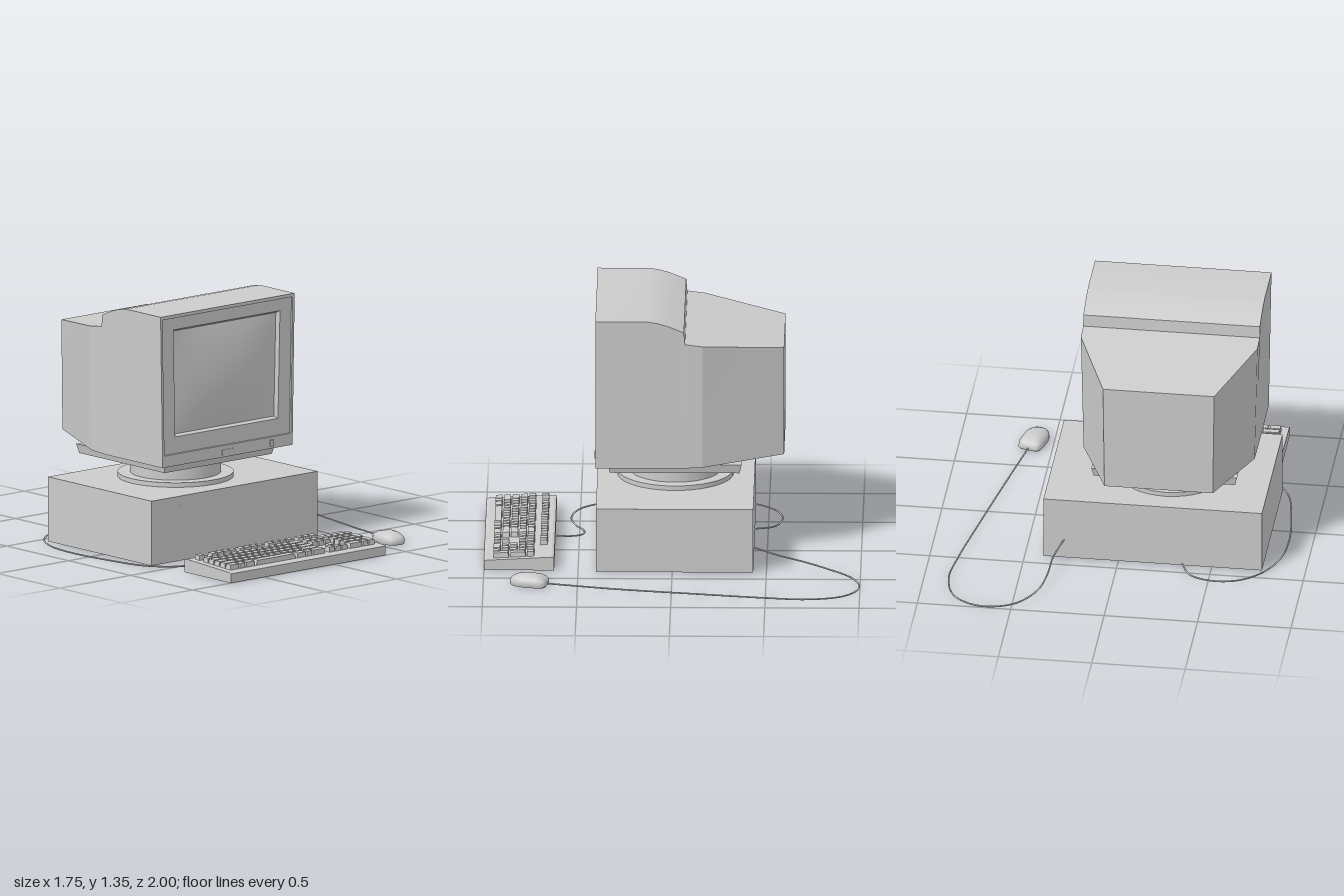
import * as THREE from 'three';
import { mergeGeometries, toCreasedNormals } from 'three/addons/utils/BufferGeometryUtils.js';

const grey = new THREE.MeshStandardMaterial({ color: 0xcccccc });
const MX = -0.2375; // monitor centre line

function add(parent, name, geometry, x = 0, y = 0, z = 0) {
  const mesh = new THREE.Mesh(geometry, grey);
  mesh.name = name;
  mesh.position.set(x, y, z);
  parent.add(mesh);
  return mesh;
}

// Joins four-cornered sections [z, halfWidthTop, halfWidthBottom, yTop, yBottom], closing the last one
function loft(sections) {
  const loops = sections.map(([z, wt, wb, t, b]) => [[-wb, b, z], [wb, b, z], [wt, t, z], [-wt, t, z]]);
  const pos = [];
  const quad = (a, b, c, d) => pos.push(...a, ...b, ...c, ...a, ...c, ...d);
  for (let i = 0; i < loops.length - 1; i++) {
    const A = loops[i], B = loops[i + 1];
    for (let j = 0; j < 4; j++) {
      const k = (j + 1) % 4;
      quad(A[j], B[j], B[k], A[k]);
    }
  }
  const [p, q, r, s] = loops[loops.length - 1];
  quad(p, s, r, q);
  const g = new THREE.BufferGeometry();
  g.setAttribute('position', new THREE.Float32BufferAttribute(pos, 3));
  g.computeVertexNormals();
  return toCreasedNormals(g, 0.3);
}

// Box whose top or bottom is narrowed
function taperedBox(w, h, d, top, bottom = 1) {
  const g = new THREE.BoxGeometry(w, h, d), p = g.attributes.position;
  for (let i = 0; i < p.count; i++) {
    const s = p.getY(i) > 0 ? top : bottom;
    p.setX(i, p.getX(i) * s);
    p.setZ(i, p.getZ(i) * s);
  }
  g.computeVertexNormals();
  return g;
}

function cable(points) {
  const curve = new THREE.CatmullRomCurve3(points.map(p => new THREE.Vector3(...p)));
  return new THREE.TubeGeometry(curve, 120, 0.0045, 8);
}

function buildMonitor() {
  const g = new THREE.Group();
  g.name = 'monitor';
  g.position.x = MX;
  // Shell: screen recess, bezel panel, rim, hood with rounded step, tapering back
  add(g, 'monitorShell', loft([
    [0.38, 0.366, 0.352, 1.25, 0.69],
    [0.402, 0.376, 0.362, 1.262, 0.68],
    [0.402, 0.457, 0.443, 1.325, 0.59],
    [0.41, 0.459, 0.445, 1.327, 0.588],
    [0.41, 0.4725, 0.458, 1.345, 0.525],
    [0.13, 0.4725, 0.458, 1.345, 0.525],
    [0.08, 0.4725, 0.458, 1.336, 0.525],
    [0.03, 0.4725, 0.458, 1.322, 0.525],
    [-0.02, 0.4725, 0.458, 1.302, 0.525],
    [-0.06, 0.4725, 0.458, 1.285, 0.526],
    [-0.066, 0.4725, 0.458, 1.22, 0.526],
    [-0.16, 0.4725, 0.458, 1.208, 0.531],
    [-0.59, 0.2975, 0.29, 1.15, 0.555],
  ]));
  // Bulging glass
  const glass = new THREE.PlaneGeometry(2, 2, 20, 20), p = glass.attributes.position;
  for (let i = 0; i < p.count; i++) {
    const u = p.getX(i), v = p.getY(i);
    p.setXYZ(i, u * (0.359 + 0.007 * v), 0.97 + v * 0.28, 0.38 + 0.03 * (1 - u * u) * (1 - v * v));
  }
  glass.computeVertexNormals();
  add(g, 'screen', glass);
  add(g, 'powerButton', new THREE.BoxGeometry(0.025, 0.035, 0.012), 0.31, 0.555, 0.411);
  add(g, 'controlFlap', new THREE.BoxGeometry(0.08, 0.03, 0.008), 0, 0.55, 0.41);
  // Swivel stand
  add(g, 'tiltPlate', taperedBox(0.78, 0.05, 0.71, 1, 0.97), 0, 0.5, -0.01);
  add(g, 'swivelNeck', new THREE.CylinderGeometry(0.242, 0.242, 0.1, 40), 0, 0.425, -0.01);
  add(g, 'swivelBase', new THREE.CylinderGeometry(0.308, 0.308, 0.025, 40), 0, 0.3675, -0.01);
  return g;
}

function buildCase() {
  const g = new THREE.Group();
  g.name = 'computerCase';
  add(g, 'caseBody', new THREE.BoxGeometry(1.17, 0.35, 0.835), -0.185, 0.18, -0.0125);
  // Front panel seam
  add(g, 'seamUpright', new THREE.BoxGeometry(0.004, 0.29, 0.003), -0.585, 0.158, 0.405);
  add(g, 'seamTop', new THREE.BoxGeometry(0.045, 0.004, 0.003), -0.565, 0.301, 0.405);
  return g;
}

function buildKeyboard() {
  const g = new THREE.Group();
  g.name = 'keyboard';
  // Wedge-shaped body, extruded sideways
  const profile = new THREE.Shape([[1, 0], [1, 0.05], [0.985, 0.055], [0.64, 0.073], [0.627, 0.068], [0.627, 0]]
    .map(([z, y]) => new THREE.Vector2(z, y)));
  const body = new THREE.ExtrudeGeometry(profile, { depth: 1.09, bevelEnabled: false });
  body.rotateY(-Math.PI / 2);
  add(g, 'keyboardBody', body, 0.36);

  const keys = [], P = 0.045;
  const key = (left, z, units = 1, rows = 1) => {
    const k = taperedBox(units * P - 0.006, 0.03, rows * P - 0.006, 0.9);
    k.rotateX(0.05);
    k.translate(left + units * P / 2, 0.069 + (0.95 - z) * 0.045, z);
    keys.push(k);
  };
  const row = (left, z, widths) => {
    for (const w of widths) {
      key(left, z, w);
      left += w * P;
    }
  };
  const ones = n => Array(n).fill(1);
  const Z = [0.684, 0.753, 0.797, 0.842, 0.887, 0.932];
  // Separate back row
  for (const [x, n] of [[-0.695, 1], [-0.605, 4], [-0.41, 4], [-0.205, 4], [0.003, 3]]) row(x, Z[0], ones(n));
  // Main block
  [[...ones(13), 2], [1.5, ...ones(12), 1.5], [1.75, ...ones(11), 2.25], [2.25, ...ones(10), 2.75],
    [1.5, 1, 1.5, 6.5, 1.5, 1, 2]].forEach((widths, i) => row(-0.695, Z[i + 1], widths));
  // Navigation and arrow keys
  for (const i of [1, 2, 5]) row(0.003, Z[i], ones(3));
  key(0.003 + P, Z[4]);
  // Number pad
  row(0.15, Z[1], ones(4));
  for (const i of [2, 3, 4]) row(0.15, Z[i], ones(3));
  row(0.15, Z[5], [2, 1]);
  for (const i of [2, 4]) key(0.15 + 3 * P, (Z[i] + Z[i + 1]) / 2, 1, 2);
  add(g, 'keys', mergeGeometries(keys));
  return g;
}

function buildMouse() {
  // Domed disc reshaped: blunt at the cable end, round at the palm
  const profile = [[0, 0], [0.96, 0], [1, 0.006], [0.98, 0.028], [0.88, 0.04], [0.65, 0.052], [0.35, 0.059], [0, 0.061]]
    .map(([r, y]) => new THREE.Vector2(r, y));
  const geo = new THREE.LatheGeometry(profile, 40), p = geo.attributes.position;
  for (let i = 0; i < p.count; i++) {
    const x = p.getX(i), z = p.getZ(i), r = Math.hypot(x, z);
    if (r < 1e-6) continue;
    const n = z < 0 ? 5 : 2.4;
    const k = (Math.abs(x / r) ** n + Math.abs(z / r) ** n) ** (-1 / n);
    p.setX(i, x * k * 0.067);
    p.setZ(i, z * k * 0.102);
  }
  geo.computeVertexNormals();
  const mouse = new THREE.Group();
  mouse.name = 'mouse';
  add(mouse, 'mouseBody', toCreasedNormals(geo, 0.7));
  mouse.position.set(0.602, 0, 0.757);
  mouse.rotation.y = -0.25;
  return mouse;
}

export function createModel() {
  const model = new THREE.Group();
  model.name = 'desktopComputer';
  model.add(buildMonitor(), buildCase(), buildKeyboard(), buildMouse());
  const y = 0.006;
  add(model, 'mouseCable', cable([
    [0.625, 0.012, 0.67], [0.7, y, 0.3], [0.78, y, -0.13], [0.845, y, -0.5], [0.868, y, -0.72], [0.82, y, -0.9],
    [0.72, y, -0.98], [0.61, y, -0.995], [0.48, 0.008, -0.945], [0.38, 0.022, -0.82], [0.345, 0.048, -0.7],
    [0.33, 0.08, -0.56], [0.29, 0.112, -0.425],
  ]));
  add(model, 'keyboardCable', cable([
    [-0.22, 0.01, 0.64], [-0.22, y, 0.55], [-0.25, y, 0.485], [-0.31, y, 0.475], [-0.42, y, 0.525], [-0.55, y, 0.547],
    [-0.7, y, 0.5], [-0.8, y, 0.38], [-0.85, y, 0.15], [-0.872, y, -0.1], [-0.85, y, -0.3], [-0.77, y, -0.46],
    [-0.66, y, -0.55], [-0.53, y, -0.575], [-0.4, y, -0.53], [-0.34, 0.012, -0.425],
  ]));
  return model;
}
